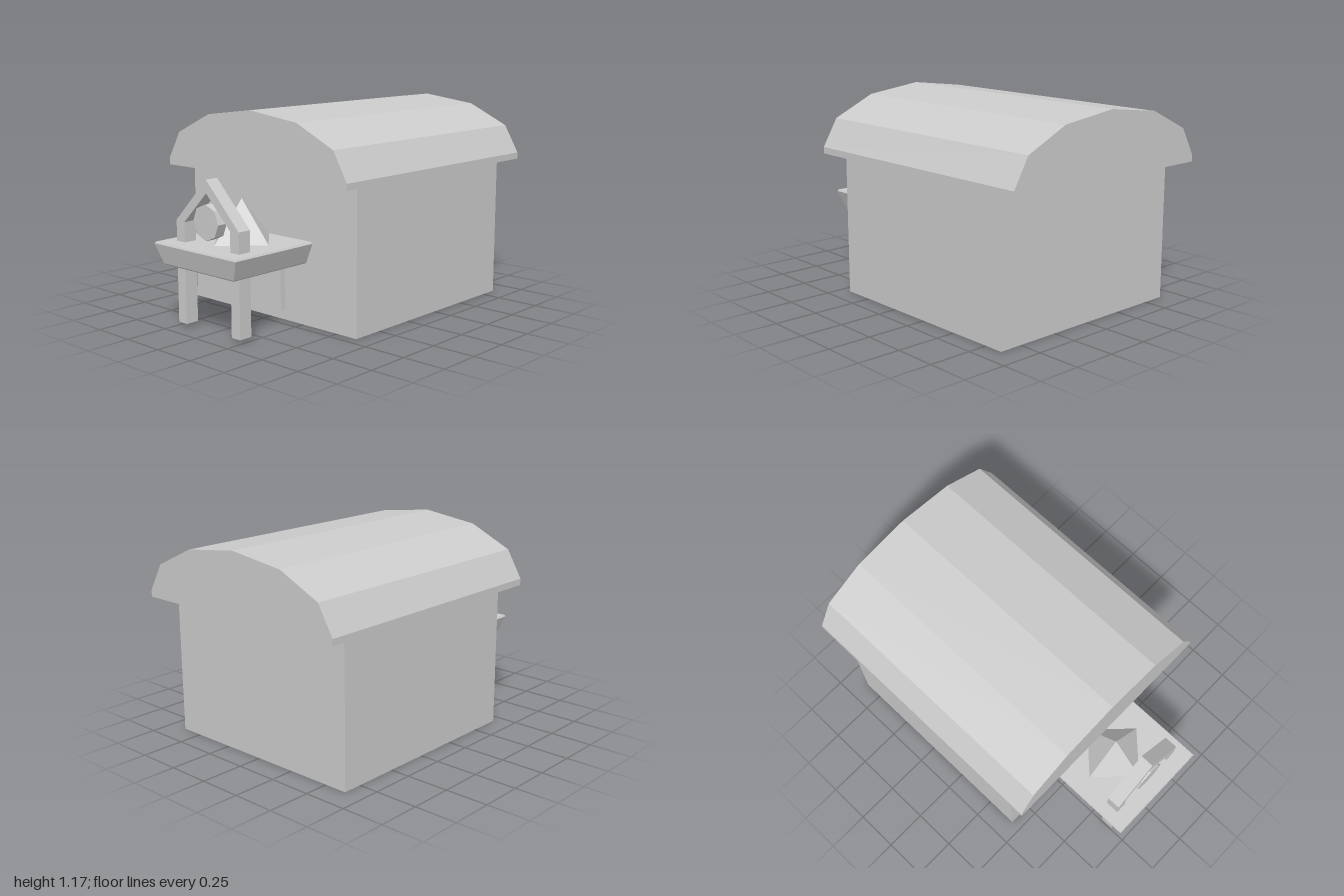
import * as THREE from 'three';

export function createModel() {
  const model = new THREE.Group();
  const material = new THREE.MeshStandardMaterial({ color: 0xcccccc, flatShading: true });

  const add = (name, geometry, x = 0, y = 0, z = 0) => {
    const mesh = new THREE.Mesh(geometry, material);
    mesh.name = name;
    mesh.position.set(x, y, z);
    model.add(mesh);
    return mesh;
  };

  // Box given by its limits on each axis
  const addBox = (name, [x0, x1], [y0, y1], [z0, z1]) =>
    add(name, new THREE.BoxGeometry(x1 - x0, y1 - y0, z1 - z0),
      (x0 + x1) / 2, (y0 + y1) / 2, (z0 + z1) / 2);

  // Symmetric outline from its right half, listed bottom to top, extruded along z
  const addProfile = (name, half, z0, z1) => {
    const left = half.filter(([x]) => x > 0).reverse().map(([x, y]) => [-x, y]);
    const shape = new THREE.Shape([...half, ...left].map(([x, y]) => new THREE.Vector2(x, y)));
    return add(name, new THREE.ExtrudeGeometry(shape, { depth: z1 - z0, bevelEnabled: false }), 0, 0, z0);
  };

  // Main building and its overhanging faceted roof
  addBox('walls', [-0.635, 0.635], [0, 0.816], [-0.86, 0.437]);
  addProfile('roof', [[0.69, 0.815], [0.69, 0.853], [0.597, 1.013], [0.343, 1.132], [0, 1.175]], -1, 0.58);

  // Door panel
  addBox('door', [-0.113, 0.113], [0.06, 0.33], [0.43, 0.473]);

  // Porch canopy: slab flaring upward, with softened rims
  const levels = [ // y, half width, front z
    [0.35, 0.268, 0.966],
    [0.357, 0.276, 0.972],
    [0.466, 0.32, 1.0],
    [0.476, 0.314, 0.995],
  ];
  const canopy = new THREE.BoxGeometry(2, 3, 2, 1, 3, 1);
  const p = canopy.attributes.position;
  for (let i = 0; i < p.count; i++) {
    const [y, w, front] = levels[Math.round(p.getY(i) + 1.5)];
    p.setXYZ(i, p.getX(i) * w, y, p.getZ(i) > 0 ? front : 0.433);
  }
  canopy.computeVertexNormals();
  add('canopy', canopy);

  // Posts and the gabled arch that joins them, as one continuous frame
  const frame = new THREE.Shape([
    [0.18, 0.02], [0.245, 0.02], [0.245, 0.592], [0, 0.838], [-0.245, 0.592], [-0.245, 0.02],
    [-0.18, 0.02], [-0.18, 0.588], [0, 0.765], [0.18, 0.588],
  ].map(([x, y]) => new THREE.Vector2(x, y)));
  add('porchFrame', new THREE.ExtrudeGeometry(frame, { depth: 0.079, bevelEnabled: false }), 0, 0, 0.826);

  // Octagonal disc set in the arch
  const disc = new THREE.CylinderGeometry(0.098, 0.098, 0.06, 8);
  disc.rotateX(Math.PI / 2);
  add('archDisc', disc, 0, 0.609, 0.882);

  // Small pyramid on the canopy, corners facing the sides
  add('canopyPyramid', new THREE.ConeGeometry(0.205, 0.232, 4), 0, 0.59, 0.652);

  return model;
}
